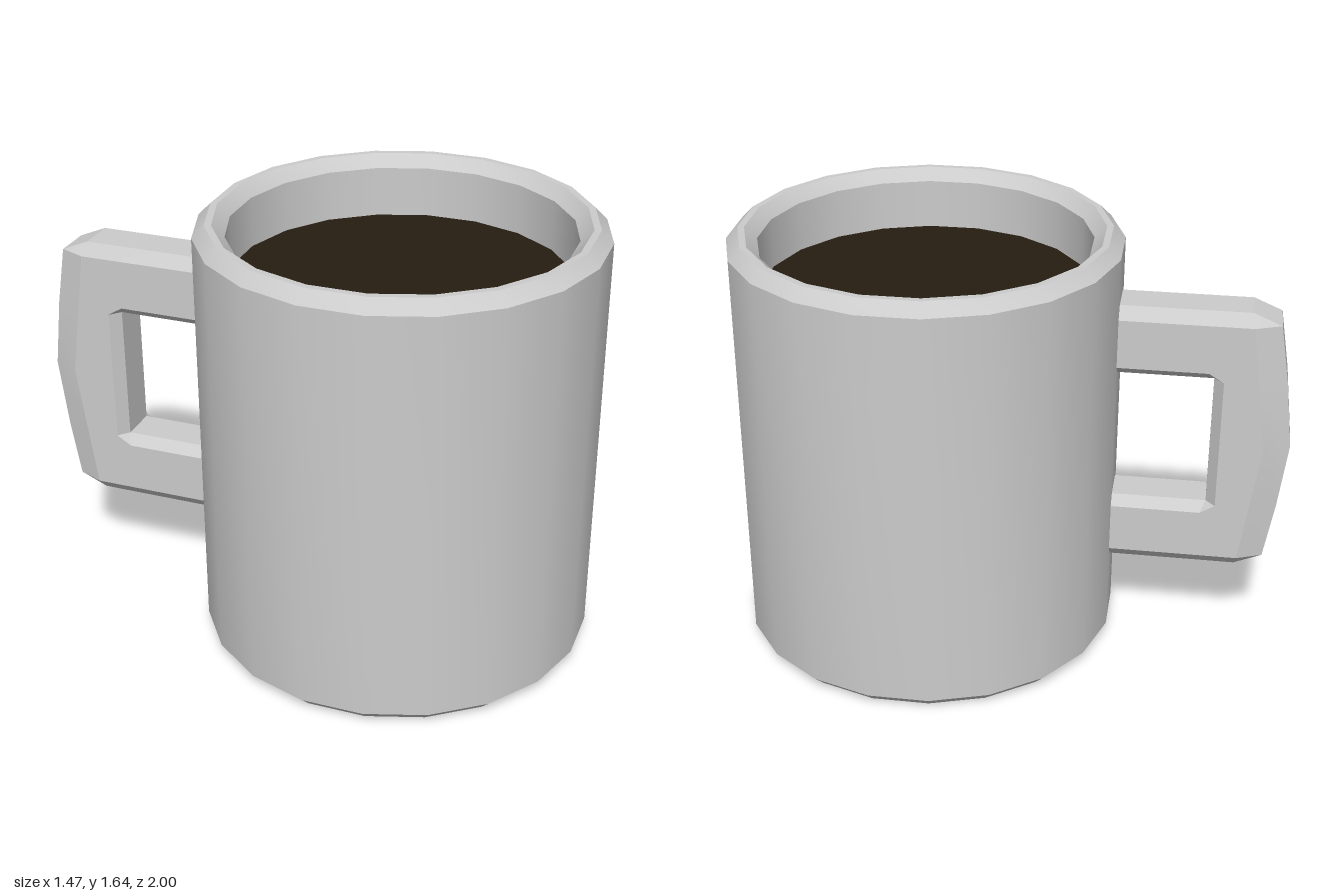
import * as THREE from 'three';
import { toCreasedNormals } from 'three/addons/utils/BufferGeometryUtils.js';

const SIDES = 20, CREASE = 0.35;
const BODY_Z = 0.265;

// Cup wall: chamfered foot and rim, hollow inside
function bodyGeometry() {
  const profile = [
    [0, 0], [0.69, 0], [0.735, 0.045], [0.735, 1.6], [0.69, 1.645],
    [0.665, 1.645], [0.62, 1.6], [0.62, 0.1], [0, 0.1],
  ].map(([r, y]) => new THREE.Vector2(r, y));
  return toCreasedNormals(new THREE.LatheGeometry(profile, SIDES), CREASE);
}

// Handle: bevelled eight-sided section swept round a C, mirrored top to bottom.
// Each row is [distance from cup axis, height above the handle's middle].
function handleGeometry() {
  const midY = 0.88, flat = 0.072, wide = 0.112;
  const outerFlat = [[0.68, 0.53], [1.209, 0.53], [1.315, 0.485], [1.352, 0.26], [1.383, 0]];
  const outerSide = [[0.68, 0.485], [1.217, 0.485], [1.217, 0.485], [1.25, 0.25], [1.285, 0]];
  const innerSide = [[0.68, 0.295], [1.065, 0.295], [1.121, 0.26], [1.121, 0.15], [1.121, 0]];
  const innerFlat = [[0.68, 0.26], [1.085, 0.26], [1.085, 0.26], [1.085, 0.15], [1.085, 0]];
  const section = [
    [flat, outerFlat], [-flat, outerFlat], [-wide, outerSide], [-wide, innerSide],
    [-flat, innerFlat], [flat, innerFlat], [wide, innerSide], [wide, outerSide],
  ];
  const half = outerFlat.length, stations = half * 2 - 1, n = section.length;
  const positions = [], index = [];
  for (let i = 0; i < stations; i++) {
    const row = i < half ? i : stations - 1 - i;
    const sign = i < half ? 1 : -1;
    for (const [x, line] of section) {
      positions.push(x, midY + sign * line[row][1], line[row][0]);
    }
  }
  for (let i = 0; i < stations - 1; i++) {
    for (let k = 0; k < n; k++) {
      const a = i * n + k, b = i * n + (k + 1) % n;
      index.push(a, b, a + n, b, b + n, a + n);
    }
  }
  const geometry = new THREE.BufferGeometry();
  geometry.setAttribute('position', new THREE.Float32BufferAttribute(positions, 3));
  geometry.setIndex(index);
  return toCreasedNormals(geometry, CREASE);
}

export function createModel() {
  const model = new THREE.Group();
  model.name = 'mug';
  const ceramic = new THREE.MeshStandardMaterial({ color: 0xcccccc });
  const coffee = new THREE.MeshStandardMaterial({ color: 0x271d11 });

  const add = (name, geometry, material) => {
    const mesh = new THREE.Mesh(geometry, material);
    mesh.name = name;
    mesh.position.z = BODY_Z;
    model.add(mesh);
    return mesh;
  };

  add('body', bodyGeometry(), ceramic);

  // Drink surface, its corners lined up with the wall
  const drink = add('drink', new THREE.CircleGeometry(0.62, SIDES), coffee);
  drink.rotation.x = -Math.PI / 2;
  drink.position.y = 1.41;

  // Handle points to the back right
  const handle = add('handle', handleGeometry(), ceramic);
  handle.rotation.y = Math.PI + 0.471;

  return model;
}
